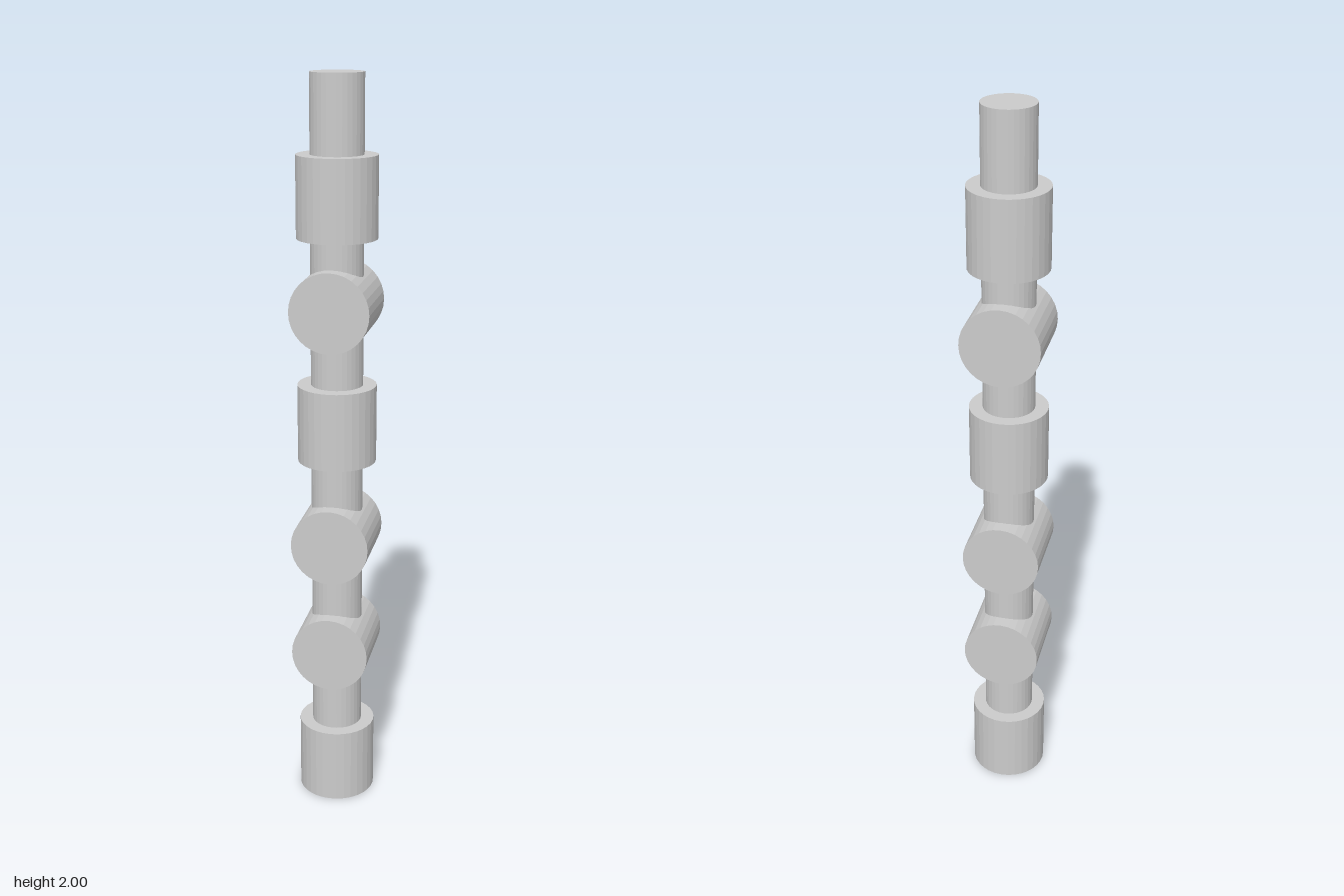
import * as THREE from 'three';

export function createModel() {
  const model = new THREE.Group();
  const material = new THREE.MeshStandardMaterial({ color: 0xcccccc, flatShading: true });
  const shaftRadius = 0.069, drumRadius = 0.105, drumLength = 0.21, sides = 32;

  function addCylinder(name, radius, length, y) {
    const mesh = new THREE.Mesh(new THREE.CylinderGeometry(radius, radius, length, sides), material);
    mesh.name = name;
    mesh.position.y = y;
    model.add(mesh);
    return mesh;
  }

  // Central shaft, running the full height
  addCylinder('shaft', shaftRadius, 1.99, 1.005);

  // Upright collars around the shaft
  [0.105, 1.1, 1.696].forEach((y, i) => addCylinder(`collar${i + 1}`, drumRadius, drumLength, y));

  // Cross drums lying front to back through the shaft
  [0.457, 0.776, 1.416].forEach((y, i) => {
    addCylinder(`crossDrum${i + 1}`, drumRadius, drumLength, y).rotation.x = Math.PI / 2;
  });

  return model;
}
